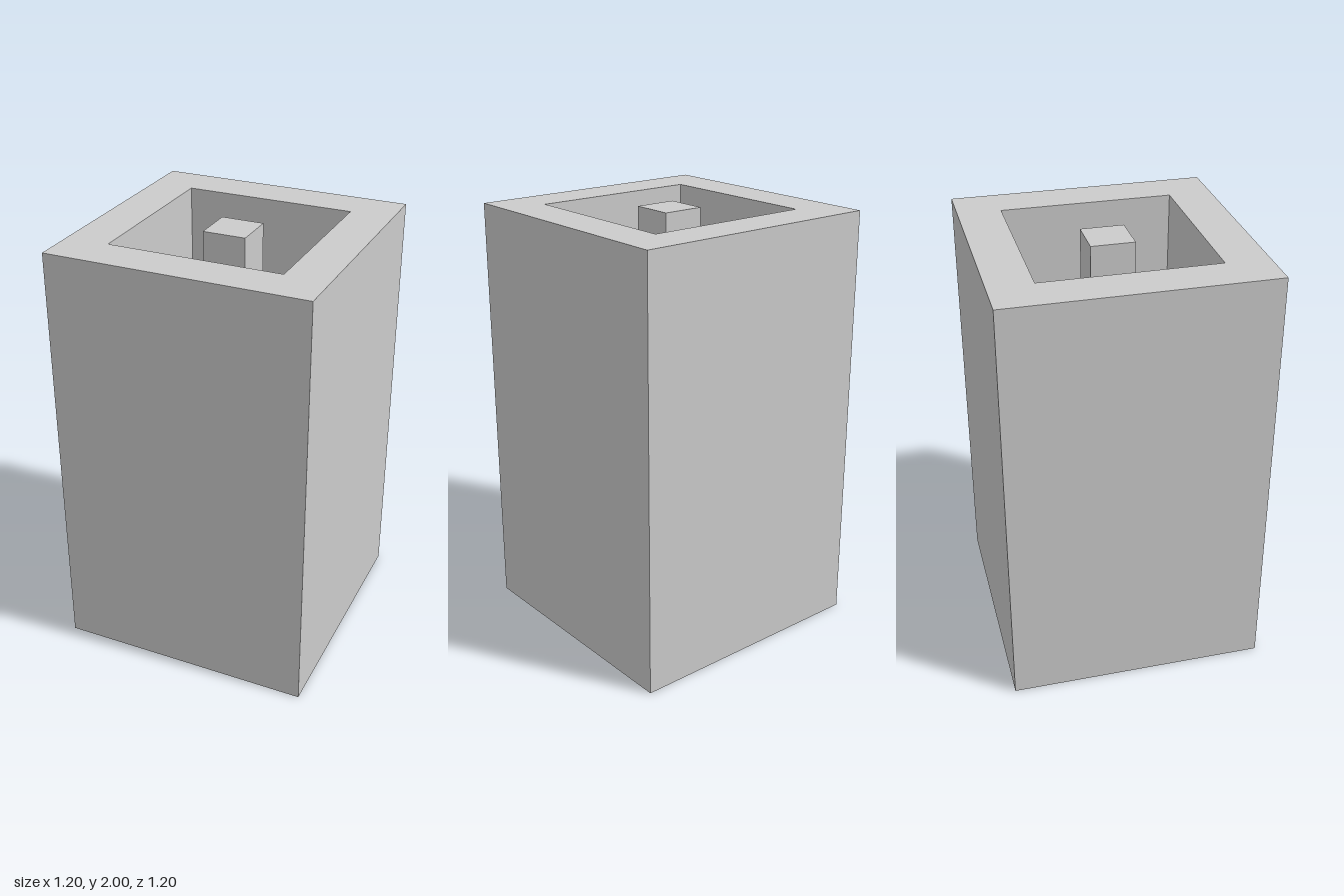
import * as THREE from 'three';

const HEIGHT = 2;

// Closed square outline of the given half width
function square(half, PathType) {
  return new PathType([
    new THREE.Vector2(-half, -half),
    new THREE.Vector2(half, -half),
    new THREE.Vector2(half, half),
    new THREE.Vector2(-half, half),
  ]);
}

export function createModel() {
  const model = new THREE.Group();
  model.name = 'squareTubeWithCore';
  const material = new THREE.MeshStandardMaterial({ color: 0xcccccc, flatShading: true });

  // Thick-walled square tube, open at both ends
  const outline = square(0.6, THREE.Shape);
  outline.holes.push(square(0.4, THREE.Path));
  const tubeGeometry = new THREE.ExtrudeGeometry(outline, { depth: HEIGHT, bevelEnabled: false });
  tubeGeometry.rotateX(-Math.PI / 2);
  const tube = new THREE.Mesh(tubeGeometry, material);
  tube.name = 'outerTube';
  model.add(tube);

  // Free-standing square post running the full height of the bore
  const post = new THREE.Mesh(new THREE.BoxGeometry(0.2, HEIGHT, 0.2), material);
  post.name = 'centrePost';
  post.position.y = HEIGHT / 2;
  model.add(post);

  return model;
}
